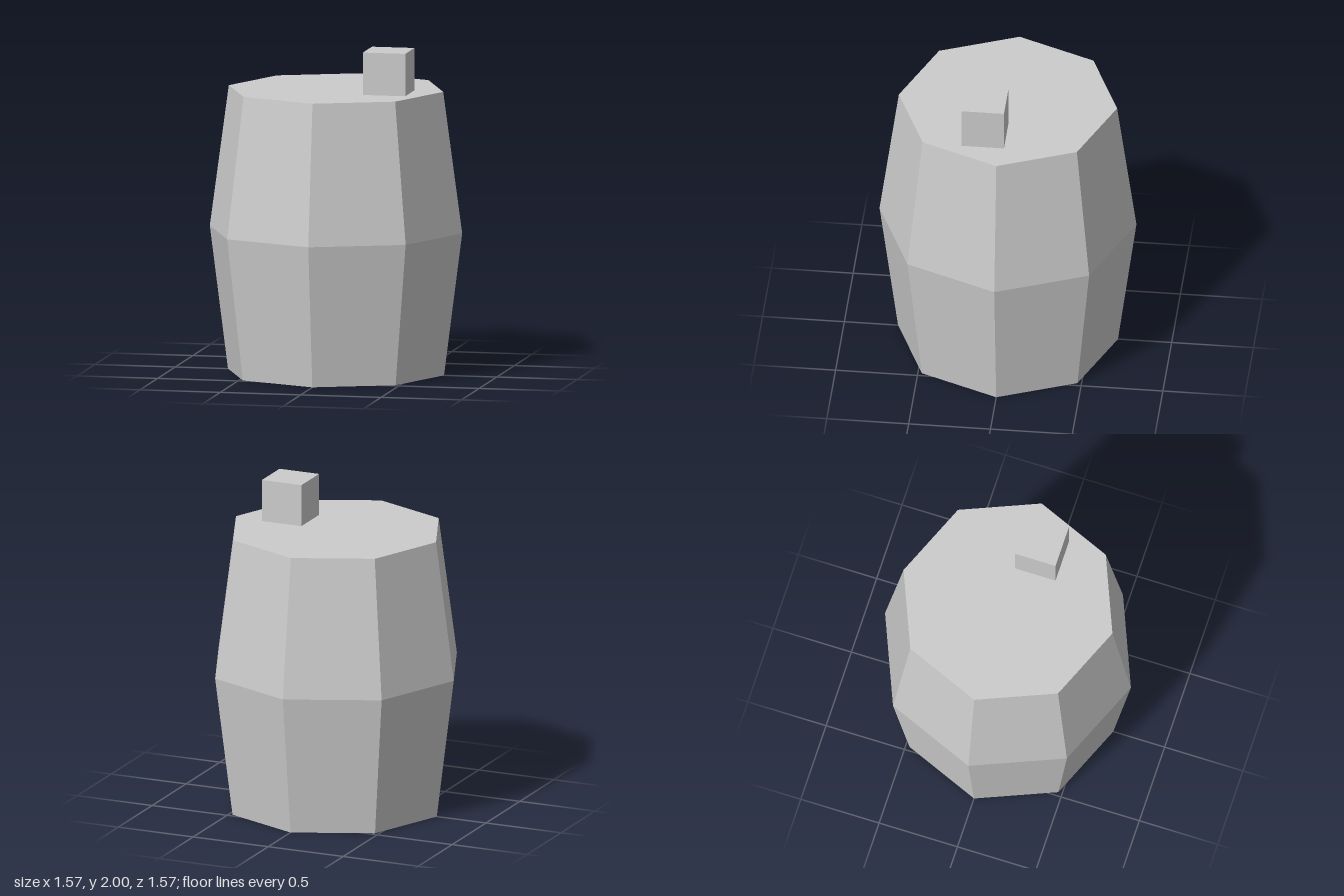
import * as THREE from 'three';

export function createModel() {
  const model = new THREE.Group();
  const material = new THREE.MeshStandardMaterial({ color: 0xcccccc, flatShading: true });

  const add = (name, geometry) => {
    const mesh = new THREE.Mesh(geometry, material);
    mesh.name = name;
    model.add(mesh);
    return mesh;
  };

  // Eight-sided barrel, widest at mid height, closed at both ends
  const profile = [[0, 0], [0.672, 0], [0.785, 0.875], [0.667, 1.74], [0, 1.74]]
    .map(([r, y]) => new THREE.Vector2(r, y));
  add('barrelBody', new THREE.LatheGeometry(profile, 8));

  // Small square bung standing off-centre on the lid
  add('bung', new THREE.BoxGeometry(0.264, 0.26, 0.26)).position.set(0.35, 1.87, 0.103);

  return model;
}
